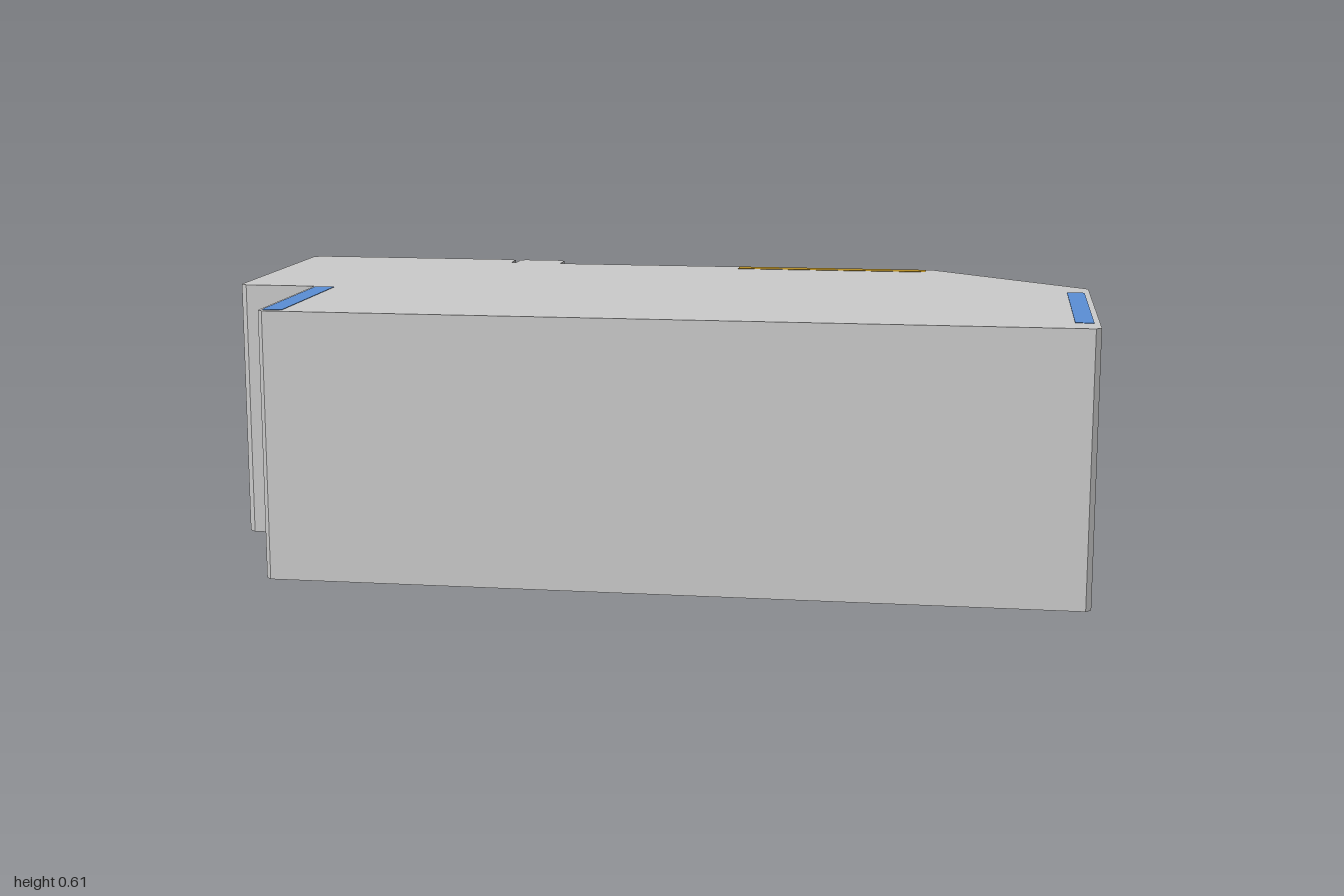
import * as THREE from 'three';

const HEIGHT = 0.605;

const grey = new THREE.MeshStandardMaterial({ color: 0xcccccc });
const stone = new THREE.MeshStandardMaterial({ color: 0xc9c6bc });
const blue = new THREE.MeshStandardMaterial({ color: 0x5b8fd6 });
const gold = new THREE.MeshStandardMaterial({ color: 0xb58c24 });
const purple = new THREE.MeshStandardMaterial({ color: 0x9a63d0 });

// Box given by its min and max corners
function box(name, material, [x0, y0, z0], [x1, y1, z1]) {
  const mesh = new THREE.Mesh(new THREE.BoxGeometry(x1 - x0, y1 - y0, z1 - z0), material);
  mesh.position.set((x0 + x1) / 2, (y0 + y1) / 2, (z0 + z1) / 2);
  mesh.name = name;
  return mesh;
}

export function createModel() {
  const group = new THREE.Group();
  group.name = 'building';

  // Main block: floor plan (x, z) with small corner bevels, extruded upwards
  const plan = [
    [-1, -0.44], [-0.985, -0.453], [-0.468, -0.453], [-0.455, -0.44],
    [-0.455, -0.387], [-0.443, -0.387], [-0.443, -0.44], [-0.433, -0.453],
    [-0.34, -0.453], [-0.326, -0.44], [-0.326, -0.385],
    [0.63, -0.385], [0.99, -0.083], [0.997, -0.07],
    [0.997, 0.545], [0.985, 0.557], [-0.805, 0.557], [-0.817, 0.545],
    [-0.817, 0.14], [-0.985, 0.14], [-1, 0.127],
  ];
  const shape = new THREE.Shape(plan.map(([x, z]) => new THREE.Vector2(x, -z)));
  const geometry = new THREE.ExtrudeGeometry(shape, { depth: HEIGHT, bevelEnabled: false });
  geometry.rotateX(-Math.PI / 2);
  const walls = new THREE.Mesh(geometry, grey);
  walls.name = 'mainBlock';
  group.add(walls);

  // Coloured window strips showing flush in the roof and the underside
  const e = 0.001;
  group.add(
    box('rightWindow', blue, [-0.81, -e, 0.15], [-0.765, HEIGHT + e, 0.54]),
    box('leftWindow', blue, [0.945, -e, 0], [0.985, HEIGHT + e, 0.48]),
    box('backWindow', gold, [0.14, 0.3, -0.38], [0.61, HEIGHT + e, -0.34]),
  );

  // Door panel on the slanted back corner
  const door = new THREE.Mesh(new THREE.BoxGeometry(0.265, 0.27, 0.006), stone);
  door.position.set(0.82, 0.135, -0.225);
  door.rotation.y = -Math.atan2(0.302, 0.36);
  door.name = 'door';
  group.add(door);

  // Free-standing post behind the block
  group.add(box('post', stone, [0.2, 0, -0.56], [0.268, 0.325, -0.49]));

  // Small round bollard beside the pier
  const bollard = new THREE.Mesh(new THREE.CylinderGeometry(0.02, 0.02, 0.08, 24), purple);
  bollard.position.set(-0.29, 0.04, -0.405);
  bollard.name = 'bollard';
  group.add(bollard);

  return group;
}
